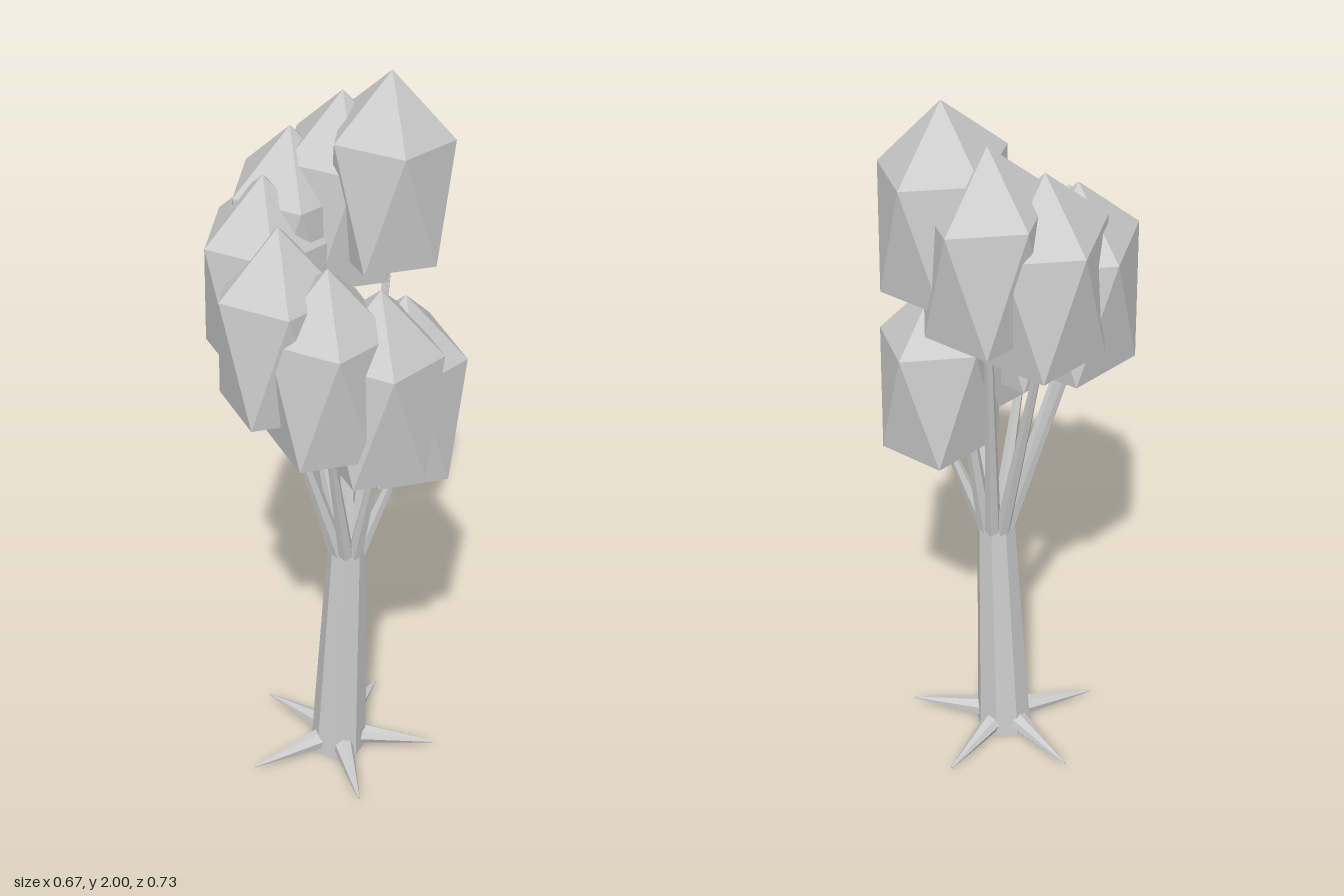
import * as THREE from 'three';
import { ConvexGeometry } from 'three/addons/geometries/ConvexGeometry.js';

const material = new THREE.MeshStandardMaterial({ color: 0xcccccc, flatShading: true });
const V = (x, y, z) => new THREE.Vector3(x, y, z);

// Tapered limb running from a to b
function limb(name, a, b, rA, rB, sides) {
  const dir = b.clone().sub(a);
  const mesh = new THREE.Mesh(new THREE.CylinderGeometry(rB, rA, dir.length(), sides), material);
  mesh.quaternion.setFromUnitVectors(V(0, 1, 0), dir.normalize());
  mesh.position.copy(a).add(b).multiplyScalar(0.5);
  mesh.name = name;
  return mesh;
}

// Faceted leaf clump: two staggered pentagons between a top and a bottom point
function leafGeometry() {
  const points = [V(0, 0.275, 0), V(-0.005, -0.275, 0)];
  for (let i = 0; i < 5; i++) {
    const a = (i * Math.PI * 2) / 5;
    const c = Math.cos(a), s = Math.sin(a);
    points.push(V(0.16 * c, i === 0 ? 0.1 : 0.125, 0.2 * s));
    points.push(V(-0.155 * c, -0.19, 0.195 * s));
  }
  return new ConvexGeometry(points);
}

export function createModel() {
  const tree = new THREE.Group();
  tree.name = 'tree';

  // Trunk: lower end horizontal, leaning slightly towards +x
  const base = V(0.01, 0.01, 0.01);
  const crown = V(0.035, 0.72, 0.02);
  const trunkGeometry = new THREE.CylinderGeometry(0.052, 0.078, 0.72, 8);
  trunkGeometry.translate(0, 0.36, 0);
  const pos = trunkGeometry.attributes.position;
  for (let i = 0; i < pos.count; i++) {
    const t = pos.getY(i) / 0.72;
    pos.setX(i, pos.getX(i) + THREE.MathUtils.lerp(base.x, crown.x, t));
    pos.setZ(i, pos.getZ(i) + THREE.MathUtils.lerp(base.z, crown.z, t));
  }
  trunkGeometry.computeVertexNormals();
  const trunk = new THREE.Mesh(trunkGeometry, material);
  trunk.name = 'trunk';
  tree.add(trunk);

  // Five pointed roots
  for (let i = 0; i < 5; i++) {
    const a = (i * Math.PI * 2) / 5;
    const c = Math.cos(a), s = Math.sin(a);
    const start = V(base.x + 0.04 * c, 0.036, base.z + 0.04 * s);
    const tip = V(base.x + 0.27 * c, 0.02, base.z + 0.27 * s);
    tree.add(limb('root', start, tip, 0.032, 0.003, 7));
  }

  // Eight leaf clumps climbing in a spiral, each on its own branch
  const leaves = leafGeometry();
  for (let i = 0; i < 8; i++) {
    const a = (i * Math.PI) / 4;
    const c = Math.cos(a), s = Math.sin(a);
    const clump = new THREE.Mesh(leaves, material);
    clump.name = 'leafClump';
    clump.position.set(0.177 * c, 1.183 + 0.0775 * i, 0.177 * s);
    tree.add(clump);

    const start = V(crown.x + 0.03 * c, 0.68, crown.z + 0.03 * s);
    const end = clump.position.clone().add(V(0, -0.2, 0));
    tree.add(limb('branch', start, end, 0.022, 0.01, 6));
  }
  return tree;
}
